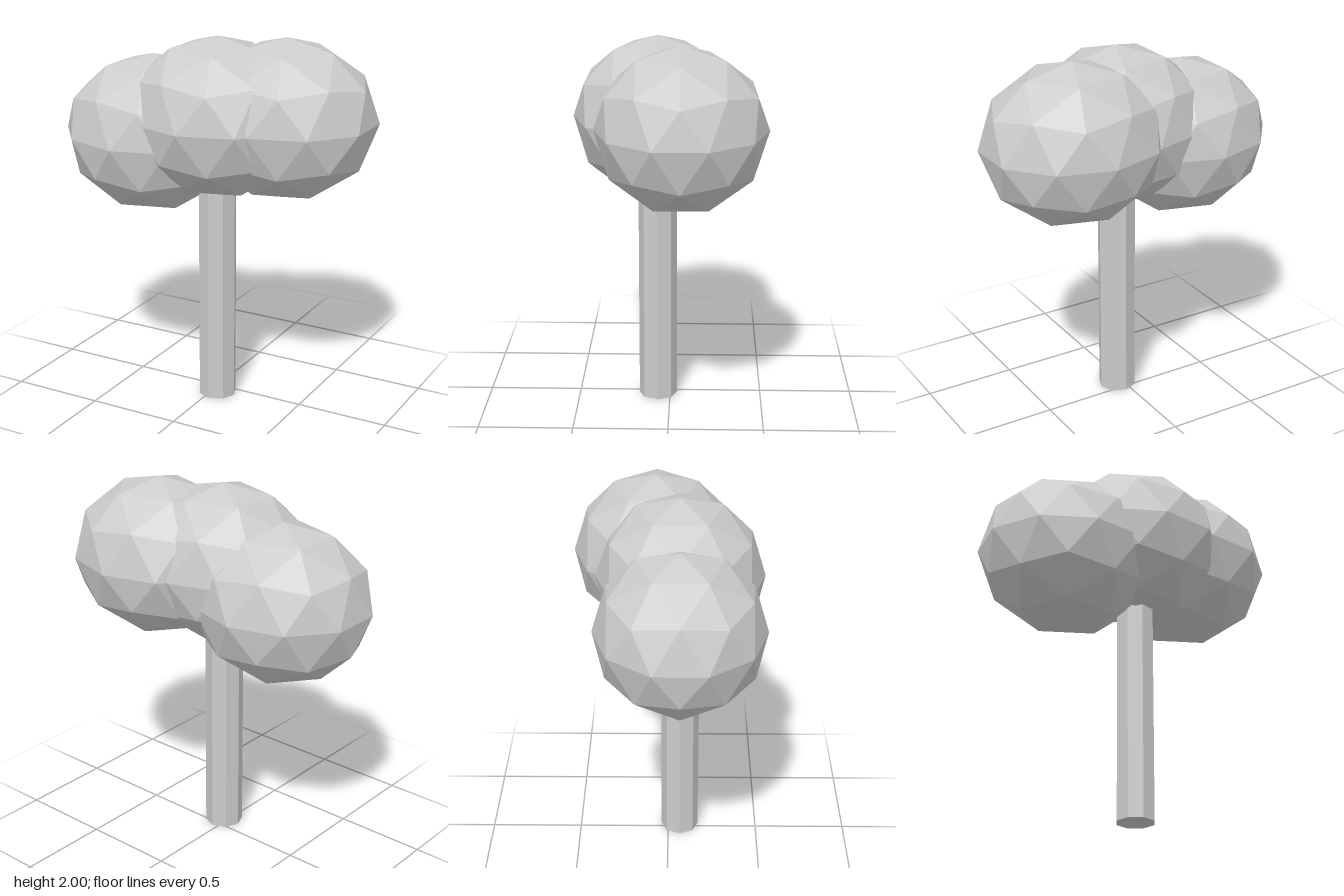
import * as THREE from 'three';

export function createModel() {
  const tree = new THREE.Group();
  tree.name = 'tree';
  const paleGrey = new THREE.MeshStandardMaterial({ color: 0xcccccc, flatShading: true });
  paleGrey.name = 'paleGrey';

  // Eight-sided trunk, its top hidden inside the foliage
  const trunkHeight = 1.4;
  const trunk = new THREE.Mesh(new THREE.CylinderGeometry(0.103, 0.103, trunkHeight, 8), paleGrey);
  trunk.name = 'trunk';
  trunk.position.set(0.03, trunkHeight / 2, 0.066);
  tree.add(trunk);

  // Faceted ball turned so that a vertex points straight up and an upper-ring vertex faces +x
  const ball = new THREE.IcosahedronGeometry(1, 1);
  ball.rotateZ(-Math.atan2(1, (1 + Math.sqrt(5)) / 2));
  ball.scale(0.489, 0.425, 0.443);
  ball.computeVertexNormals();

  // Three overlapping foliage clumps
  const clumps = [
    ['foliageRight', -0.36, 1.445, 0.063],
    ['foliageMiddle', 0.03, 1.575, 0.063],
    ['foliageLeft', 0.36, 1.575, -0.065],
  ];
  for (const [name, x, y, z] of clumps) {
    const clump = new THREE.Mesh(ball, paleGrey);
    clump.name = name;
    clump.position.set(x, y, z);
    tree.add(clump);
  }
  return tree;
}
